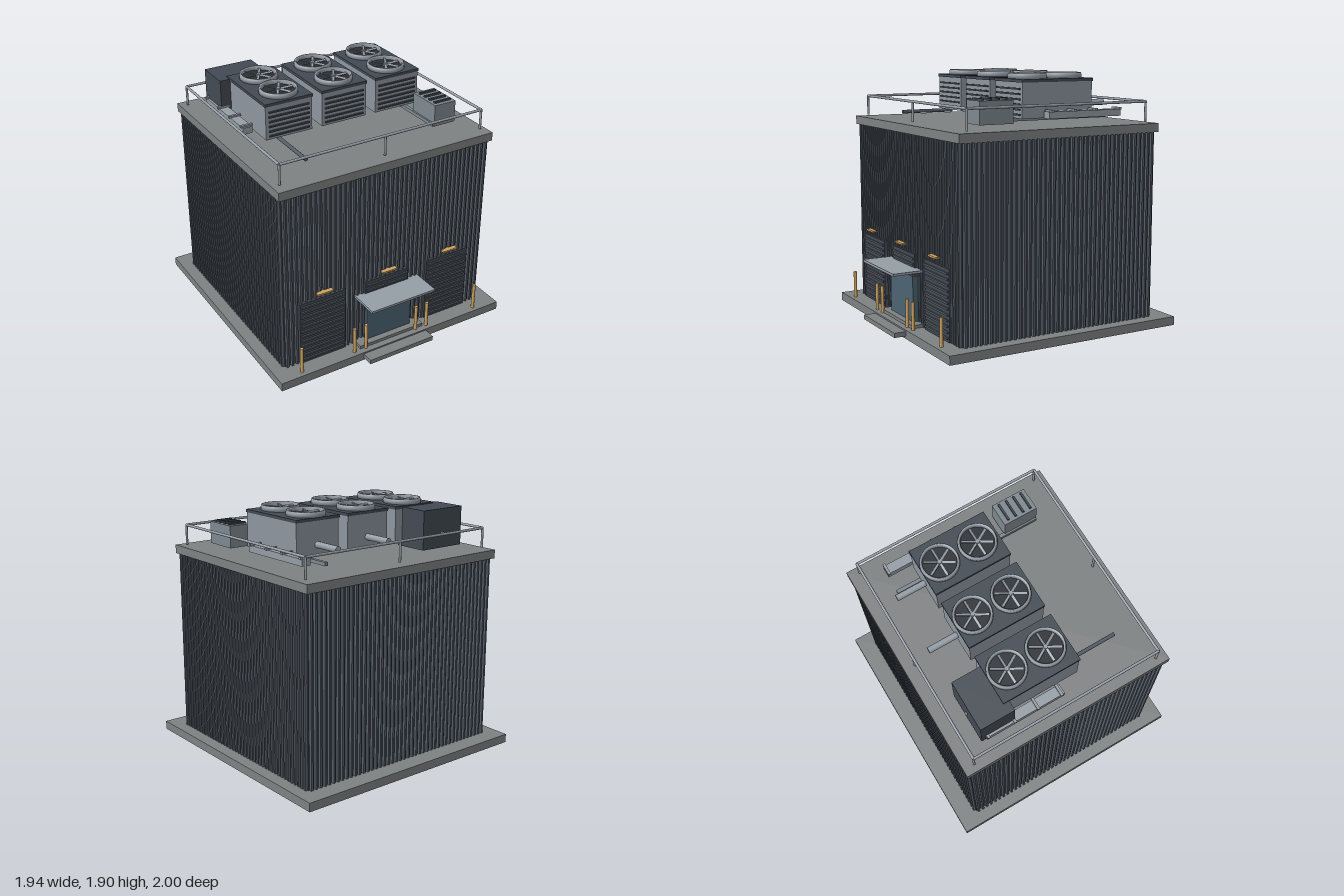
import * as THREE from 'three';

const COLORS = {
  concrete: 0x7e8182, wall: 0x454c55, rib: 0x565f69, dark: 0x434a53, slat: 0x535b65,
  steel: 0x959da6, unit: 0x8d959f, cabinet: 0x7e888f, glass: 0x4b6472, amber: 0xd0a562, black: 0x2b2f34,
};
const materials = {};
for (const key in COLORS) materials[key] = new THREE.MeshStandardMaterial({ color: COLORS[key] });

const CZ = -0.045; // centre of the building in z

function add(parent, name, geometry, mat, x = 0, y = 0, z = 0) {
  const mesh = new THREE.Mesh(geometry, materials[mat]);
  mesh.name = name;
  mesh.position.set(x, y, z);
  parent.add(mesh);
  return mesh;
}

// Box given by its limits on each axis
function block(parent, name, mat, [x0, x1], [y0, y1], [z0, z1]) {
  return add(parent, name, new THREE.BoxGeometry(x1 - x0, y1 - y0, z1 - z0), mat,
    (x0 + x1) / 2, (y0 + y1) / 2, (z0 + z1) / 2);
}

// Round bar between two points
function bar(parent, name, mat, from, to, radius) {
  const a = new THREE.Vector3(...from), b = new THREE.Vector3(...to);
  const dir = b.clone().sub(a);
  const mesh = add(parent, name, new THREE.CylinderGeometry(radius, radius, dir.length(), 14), mat);
  mesh.position.copy(a).add(b).multiplyScalar(0.5);
  mesh.quaternion.setFromUnitVectors(new THREE.Vector3(0, 1, 0), dir.normalize());
  return mesh;
}

function group(parent, name) {
  const g = new THREE.Group();
  g.name = name;
  parent.add(g);
  return g;
}

// Ribbed strip of cladding facing +z, centred on x = 0
function claddingSide(width, height, count) {
  const g = new THREE.Group();
  const pitch = width / count;
  const profile = new THREE.Shape([[-0.3, 0], [0.3, 0], [0.2, 0.018], [-0.2, 0.018]]
    .map(([u, v]) => new THREE.Vector2(u * pitch, v)));
  const geometry = new THREE.ExtrudeGeometry(profile, { depth: height, bevelEnabled: false });
  geometry.rotateX(-Math.PI / 2);
  geometry.scale(1, 1, -1); // turn the profile outwards, then restore the winding
  const index = [];
  for (let i = 0; i < geometry.attributes.position.count; i += 3) index.push(i, i + 2, i + 1);
  geometry.setIndex(index);
  geometry.computeVertexNormals();
  for (let i = 0; i < count; i++) add(g, 'claddingRib', geometry, 'rib', (i + 0.5) * pitch - width / 2);
  return g;
}

function fan(parent, x, y, z) {
  const g = group(parent, 'fan');
  g.position.set(x, y, z);
  add(g, 'fanWell', new THREE.CylinderGeometry(0.125, 0.125, 0.008, 36), 'black', 0, 0.004);
  const ring = [[0.122, 0], [0.142, 0], [0.142, 0.022], [0.137, 0.038], [0.128, 0.038], [0.122, 0.03], [0.122, 0]]
    .map(([r, h]) => new THREE.Vector2(r, h));
  add(g, 'fanRing', new THREE.LatheGeometry(ring, 40), 'steel');
  add(g, 'fanHub', new THREE.CylinderGeometry(0.016, 0.02, 0.024, 16), 'steel', 0, 0.018);
  for (let i = 0; i < 6; i++) {
    const spoke = group(g, 'fanSpoke');
    spoke.rotation.y = i * Math.PI / 3;
    const blade = add(spoke, 'fanBlade', new THREE.BoxGeometry(0.1, 0.005, 0.02), 'steel', 0.065, 0.02);
    blade.rotation.x = 0.35;
  }
}

function coolingUnit(parent, x) {
  const g = group(parent, 'coolingUnit');
  g.position.x = x;
  block(g, 'unitBody', 'unit', [-0.187, 0.187], [1.585, 1.84], [-0.44, 0.155]);
  block(g, 'unitTop', 'dark', [-0.192, 0.192], [1.84, 1.862], [-0.446, 0.161]);
  for (let i = 0; i < 6; i++) {
    const y = 1.612 + i * 0.0365;
    block(g, 'unitLouvre', 'dark', [-0.162, 0.162], [y - 0.006, y + 0.006], [0.153, 0.166]);
  }
  for (const z of [-0.305, 0]) fan(g, 0, 1.862, z);
}

export function createModel() {
  const root = new THREE.Group();
  root.name = 'plantBuilding';

  // Foundation, walls and roof
  block(root, 'foundation', 'concrete', [-0.97, 0.97], [0, 0.066], [-1, 0.91]);
  block(root, 'wallCore', 'wall', [-0.86, 0.86], [0.066, 1.465], [CZ - 0.8, CZ + 0.8]);
  block(root, 'roofSlab', 'concrete', [-0.885, 0.885], [1.465, 1.53], [CZ - 0.83, CZ + 0.83]);
  for (let i = 0; i < 4; i++) {
    const onX = i % 2 === 1;
    const side = claddingSide(onX ? 1.6 : 1.72, 1.399, onX ? 41 : 44);
    side.name = 'cladding';
    side.rotation.y = i * Math.PI / 2;
    const out = onX ? 0.86 : 0.8;
    side.position.set(Math.sin(side.rotation.y) * out, 0.066, CZ + Math.cos(side.rotation.y) * out);
    root.add(side);
  }

  // Shutters with a lamp above each
  for (const x of [-0.555, -0.01, 0.535]) {
    const g = group(root, 'shutter');
    g.position.x = x;
    block(g, 'shutterPanel', 'dark', [-0.19, 0.19], [0.07, 0.59], [0.75, 0.785]);
    for (let i = 0; i < 12; i++) {
      const y = 0.1 + i * 0.0415;
      block(g, 'shutterSlat', 'slat', [-0.18, 0.18], [y - 0.007, y + 0.007], [0.78, 0.797]);
    }
    block(g, 'wallLamp', 'amber', [-0.062, 0.062], [0.64, 0.654], [0.79, 0.825]);
    block(g, 'lampBracket', 'dark', [-0.012, 0.012], [0.643, 0.651], [0.75, 0.79]);
  }

  // Entrance: door, canopy and steps
  block(root, 'doorGlass', 'glass', [-0.195, 0.195], [0.085, 0.42], [0.76, 0.81]);
  block(root, 'doorHead', 'slat', [-0.2, 0.2], [0.42, 0.435], [0.76, 0.813]);
  block(root, 'canopy', 'steel', [-0.275, 0.275], [0.471, 0.489], [0.76, 1]);
  block(root, 'canopyLight', 'amber', [-0.21, 0.21], [0.457, 0.471], [0.935, 0.95]);
  block(root, 'upperStep', 'concrete', [-0.28, 0.28], [0.066, 0.09], [0.76, 0.86]);
  block(root, 'lowerStep', 'concrete', [-0.28, 0.28], [0.02, 0.055], [0.9, 1]);

  // Bollards
  for (const x of [-0.78, -0.335, -0.235, 0.212, 0.31, 0.76]) {
    bar(root, 'bollard', 'amber', [x, 0.066, 0.865], [x, 0.275, 0.865], 0.013);
  }

  // Roof guard rail
  const rail = group(root, 'guardRail');
  const front = 0.7, back = -0.79, half = 0.832, top = 1.69;
  for (const z of [front, back]) {
    bar(rail, 'topRail', 'steel', [-half, top, z], [half, top, z], 0.01);
    for (const x of [-half, 0, half]) bar(rail, 'railPost', 'steel', [x, 1.54, z], [x, top, z], 0.009);
  }
  for (const x of [-half, half]) bar(rail, 'topRail', 'steel', [x, top, back], [x, top, front], 0.01);

  // Cooling units with rear pipes
  for (const x of [-0.457, 0, 0.457]) coolingUnit(root, x);
  for (const x of [0, 0.46]) bar(root, 'rearPipe', 'steel', [x, 1.67, -0.67], [x, 1.67, -0.43], 0.024);

  // Rear plant cabinet
  block(root, 'plantCabinet', 'dark', [-0.725, -0.34], [1.56, 1.852], [-0.668, -0.4]);
  bar(root, 'cabinetKnob', 'steel', [-0.53, 1.67, -0.68], [-0.53, 1.67, -0.66], 0.012);

  // Front control cabinet with top slats
  block(root, 'controlCabinet', 'cabinet', [0.535, 0.718], [1.562, 1.728], [0.27, 0.54]);
  for (let i = 0; i < 4; i++) {
    const z = 0.315 + i * 0.062;
    block(root, 'cabinetSlat', 'dark', [0.555, 0.7], [1.726, 1.742], [z - 0.008, z + 0.008]);
  }

  // Conduits on the roof
  bar(root, 'conduit', 'slat', [-0.537, 1.575, 0.1], [-0.537, 1.575, 0.535], 0.014);
  block(root, 'conduit', 'cabinet', [0.522, 0.55], [1.562, 1.588], [-0.635, 0.535]);

  // Cable trays with clamps
  for (const side of [-1, 1]) {
    const g = group(root, 'cableTray');
    g.position.x = side * 0.706;
    block(g, 'tray', 'steel', [-0.037, 0.037], [1.585, 1.635], [-0.632, -0.01]);
    for (const z of [-0.62, -0.41, -0.225, -0.035]) {
      block(g, 'trayClamp', 'steel', [-0.047, 0.047], [1.632, 1.648], [z - 0.01, z + 0.01]);
    }
  }
  return root;
}
